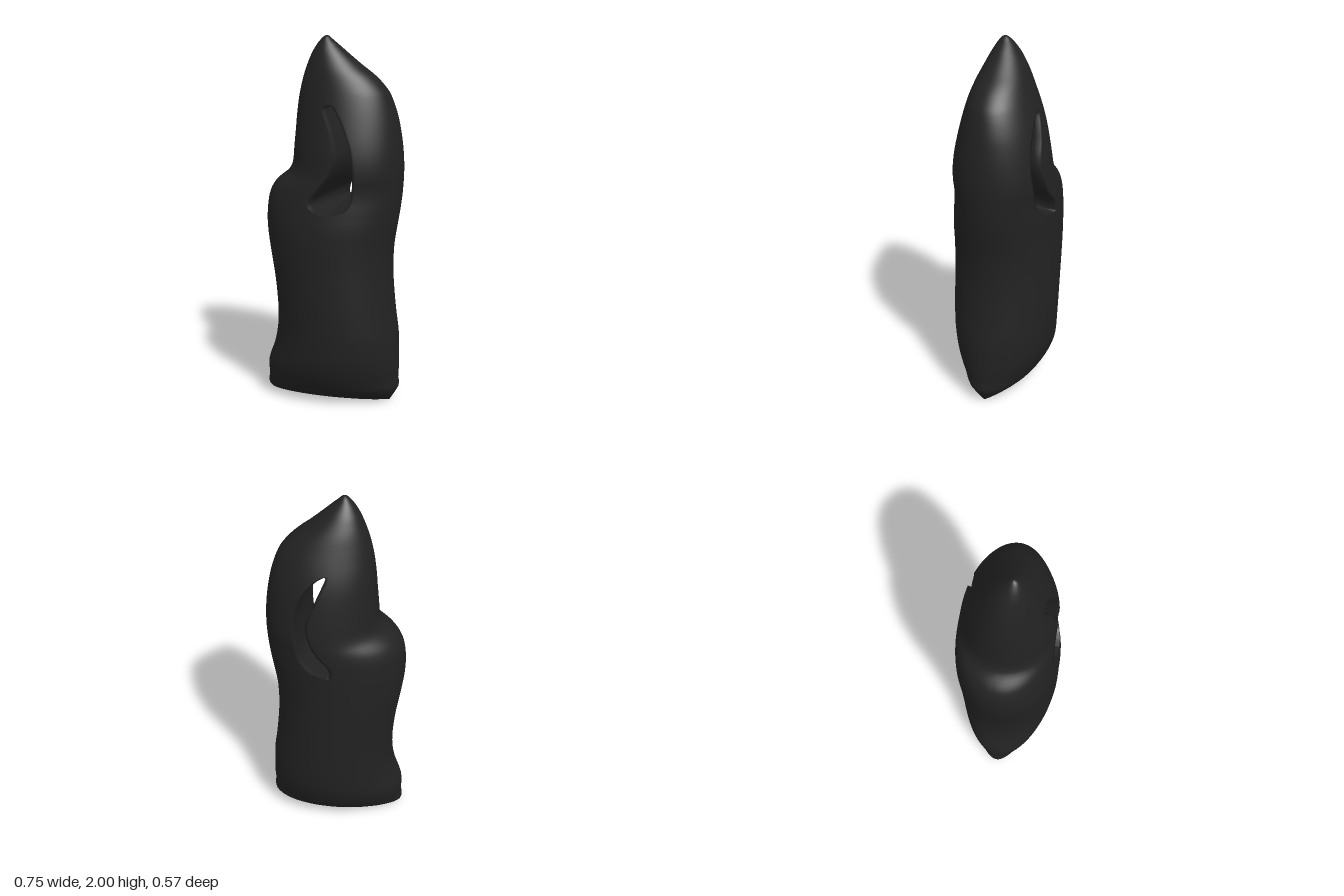
import * as THREE from 'three';
import { mergeVertices } from 'three/addons/utils/BufferGeometryUtils.js';

// Outline and depth profiles as [height, value] pairs
const LEFT_EDGE = [[0, -.34], [.02, -.37], [.05, -.38], [.1, -.373], [.15, -.375], [.2, -.37], [.3, -.335],
  [.4, -.315], [.5, -.31], [.6, -.315], [.7, -.325], [.8, -.34], [.9, -.355], [1, -.365], [1.1, -.362],
  [1.17, -.348], [1.22, -.32], [1.25, -.288], [1.28, -.25], [1.32, -.225], [1.36, -.217], [1.4, -.214], [1.5, -.205],
  [1.6, -.196], [1.7, -.181], [1.8, -.155], [1.9, -.115], [1.95, -.085], [1.98, -.06], [1.995, -.043], [2, -.03]];
const RIGHT_EDGE = [[0, .32], [.05, .35], [.09, .37], [.13, .364], [.2, .367], [.3, .365], [.4, .36], [.5, .346],
  [.6, .335], [.7, .327], [.8, .325], [.9, .33], [1, .345], [1.1, .36], [1.2, .37], [1.3, .374], [1.4, .37],
  [1.5, .357], [1.6, .336], [1.7, .3], [1.75, .265], [1.8, .215], [1.85, .15], [1.9, .09], [1.95, .033],
  [1.98, -.002], [1.995, -.018], [2, -.03]];
const FRONT_DEPTH = [[0, .04], [.01, .08], [.05, .145], [.1, .19], [.2, .24], [.3, .265], [.5, .28], [.8, .283],
  [1, .282], [1.1, .27], [1.2, .255], [1.4, .24], [1.6, .198], [1.8, .143], [1.9, .105], [1.95, .08], [1.98, .06],
  [1.995, .045], [2, .03]];
const BACK_DEPTH = [[0, -.04], [.01, -.08], [.05, -.145], [.1, -.19], [.2, -.24], [.3, -.265], [.5, -.28],
  [1, -.28], [1.2, -.273], [1.4, -.25], [1.6, -.205], [1.8, -.122], [1.9, -.065], [1.95, -.028], [1.98, .0],
  [1.995, .017], [2, .03]];

// Edges of the crescent opening: [height, front left, front right, back left, back right]
const HOLE = [[1.1, .03, .03, .03, .03], [1.105, -.01, .065, .02, .06], [1.12, -.05, .11, .02, .11],
  [1.15, -.07, .135, .025, .15], [1.18, -.06, .147, .04, .175], [1.22, -.03, .152, .08, .19],
  [1.3, .03, .156, .125, .205], [1.38, .06, .149, .145, .21], [1.45, .053, .136, .133, .2],
  [1.52, .035, .11, .1, .18], [1.58, .01, .083, .075, .145], [1.63, -.01, .053, .05, .1],
  [1.65, -.006, .038, .045, .072], [1.66, .02, .02, .05, .05]];
const HOLE_BOTTOM = 1.1, HOLE_TOP = 1.66;

// Smooth interpolation through a table, clamped at both ends
function sample(table, y, k = 1) {
  const n = table.length - 1;
  if (y <= table[0][0]) return table[0][k];
  if (y >= table[n][0]) return table[n][k];
  let i = 0;
  while (table[i + 1][0] < y) i++;
  const slope = j => {
    const a = table[Math.max(j - 1, 0)], b = table[Math.min(j + 1, n)];
    return (b[k] - a[k]) / (b[0] - a[0]);
  };
  const [p, q] = [table[i], table[i + 1]], h = q[0] - p[0], t = (y - p[0]) / h;
  const t2 = t * t, t3 = t2 * t;
  return (2 * t3 - 3 * t2 + 1) * p[k] + (t3 - 2 * t2 + t) * h * slope(i)
    + (3 * t2 - 2 * t3) * q[k] + (t3 - t2) * h * slope(i + 1);
}

// Heights of the cross-sections, denser at the foot, the opening's ends and the tip
function makeHeights() {
  const ys = [0];
  for (const [a, b, n] of [[0, .3, 20], [.3, HOLE_BOTTOM, 28], [HOLE_BOTTOM, HOLE_TOP, 50], [HOLE_TOP, 2, 34]])
    for (let i = 1; i <= n; i++) ys.push(a + (b - a) * (1 - Math.cos(Math.PI * i / n)) / 2);
  return ys;
}

function sculptureGeometry() {
  const STEPS = 28, WALL = 12;
  const positions = [], indices = [];

  // Skin a grid of rows of points; flip reverses the facing
  function skin(rows, flip) {
    const base = positions.length / 3, w = rows[0].length;
    rows.forEach(r => r.forEach(p => positions.push(...p)));
    for (let i = 0; i < rows.length - 1; i++) for (let j = 0; j < w - 1; j++) {
      const a = base + i * w + j, b = a + 1, c = a + w, d = c + 1;
      if (flip) indices.push(a, c, b, b, c, d);
      else indices.push(a, b, c, b, d, c);
    }
  }

  // Elliptical sections, each split into a left and a right lobe on both sides
  const sections = makeHeights().map(y => {
    const xl = sample(LEFT_EDGE, y), xr = sample(RIGHT_EDGE, y);
    const zf = sample(FRONT_DEPTH, y), zb = sample(BACK_DEPTH, y);
    const c = (xl + xr) / 2, w = (xr - xl) / 2, zm = (zf + zb) / 2;
    const angle = x => Math.acos(-THREE.MathUtils.clamp((x - c) / Math.max(w, 1e-6), -.9, .9));
    const arc = (from, to, z) => Array.from({ length: STEPS + 1 }, (_, j) => {
      const a = from + (to - from) * j / STEPS;
      return [c - w * Math.cos(a), y, zm + (z - zm) * Math.sin(a)];
    });
    const [fl, fr, bl, br] = [1, 2, 3, 4].map(k => angle(sample(HOLE, y, k)));
    return { y, fl: arc(0, fl, zf), fr: arc(fr, Math.PI, zf), bl: arc(0, bl, zb), br: arc(br, Math.PI, zb) };
  });
  skin(sections.map(s => s.fl), false);
  skin(sections.map(s => s.fr), false);
  skin(sections.map(s => s.bl), true);
  skin(sections.map(s => s.br), true);

  // Walls of the opening, running from the front edge to the back edge
  const wall = (p, q) => Array.from({ length: WALL + 1 }, (_, j) =>
    p.map((v, k) => v + (q[k] - v) * j / WALL));
  const open = sections.filter(s => s.y > HOLE_BOTTOM - 1e-6 && s.y < HOLE_TOP + 1e-6);
  skin(open.map(s => wall(s.fl[STEPS], s.bl[STEPS])), false);
  skin(open.map(s => wall(s.fr[0], s.br[0])), true);

  // Narrow flat foot
  skin([sections[0].bl, sections[0].fl], false);
  skin([sections[0].br, sections[0].fr], false);

  const raw = new THREE.BufferGeometry();
  raw.setAttribute('position', new THREE.Float32BufferAttribute(positions, 3));
  raw.setIndex(indices);
  const geometry = mergeVertices(raw, 1e-5);
  geometry.computeVertexNormals();
  return geometry;
}

export function createModel() {
  const group = new THREE.Group();
  group.name = 'abstractSculpture';
  const blackStone = new THREE.MeshStandardMaterial({ color: 0x222222 });
  blackStone.name = 'blackStone';
  const body = new THREE.Mesh(sculptureGeometry(), blackStone);
  body.name = 'piercedBody';
  group.add(body);
  return group;
}
